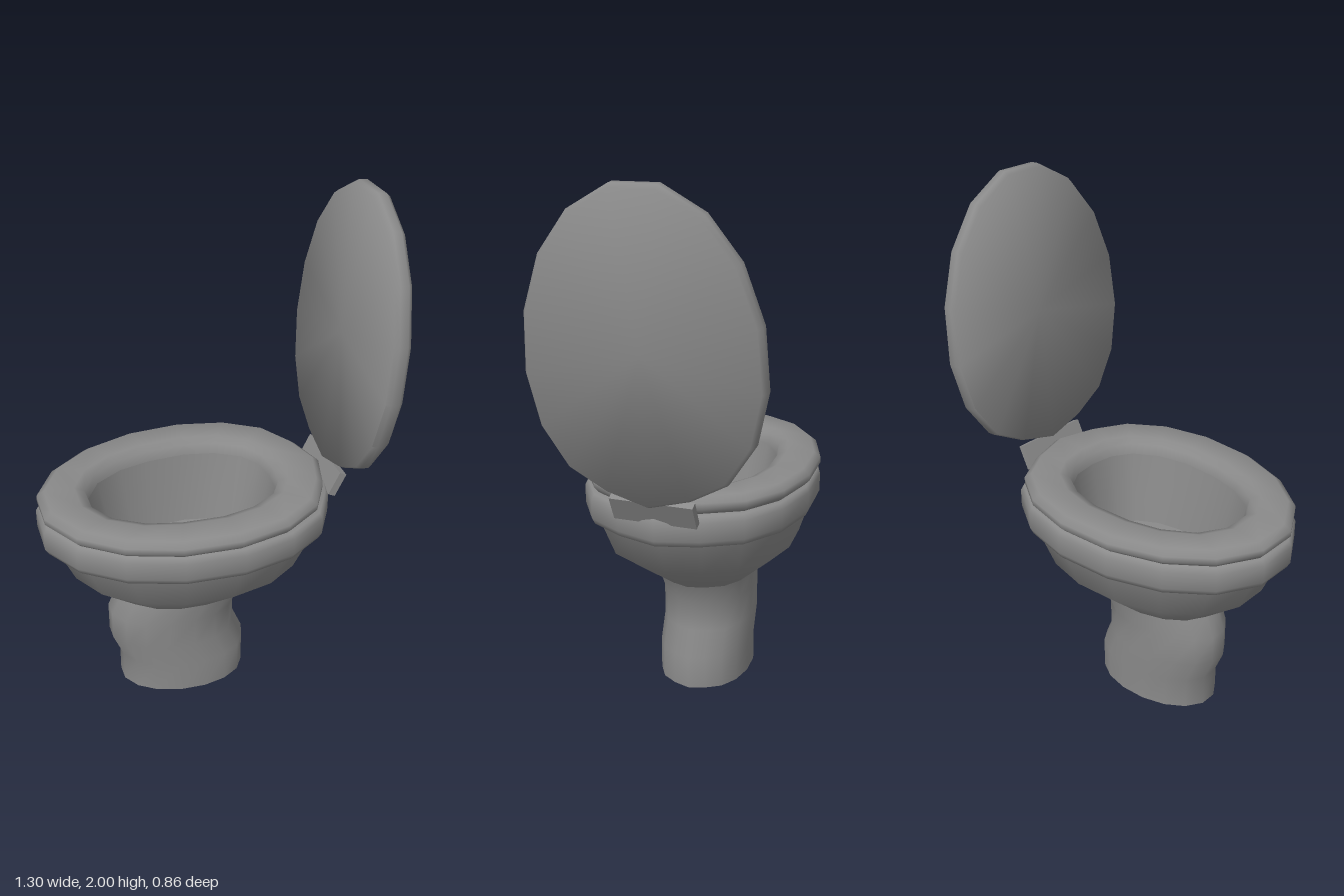
import * as THREE from 'three';
import { toCreasedNormals } from 'three/addons/utils/BufferGeometryUtils.js';

const material = new THREE.MeshStandardMaterial({ color: 0x8a8a8a, side: THREE.DoubleSide });

// 17-sided outlines from half of their points: blunt end at -x, narrow end at +x
const mirrored = (half) => [...half, [1, 0], ...half.map(([u, w]) => [u, -w]).reverse()];
const egg = mirrored([[-1, .19], [-.843, .545], [-.574, .81], [-.217, .97], [.174, 1], [.52, .9], [.78, .68], [.92, .36]]);
const oval = mirrored([[-1, .22], [-.84, .59], [-.54, .85], [-.2, .97], [.227, 1], [.56, .9], [.83, .68], [.966, .38]]);

// Skins a stack of rings, each given as [y, minX, maxX, halfWidth, outline]
function loft(name, rings, crease = 0.9) {
  const n = egg.length, positions = [], index = [];
  for (const [y, x0, x1, w, outline = egg] of rings)
    for (const [u, v] of outline) positions.push((x0 + x1) / 2 + u * (x1 - x0) / 2, y, v * w);
  for (let i = 0; i < rings.length - 1; i++)
    for (let j = 0; j < n; j++) {
      const k = (j + 1) % n, a = i * n + j, b = i * n + k;
      index.push(a, b, b + n, a, b + n, a + n);
    }
  const geometry = new THREE.BufferGeometry();
  geometry.setAttribute('position', new THREE.Float32BufferAttribute(positions, 3));
  geometry.setIndex(index);
  const mesh = new THREE.Mesh(toCreasedNormals(geometry, crease), material);
  mesh.name = name;
  return mesh;
}

// Ring shrunk to a point, closing a skin at its centre
const tip = (y, x) => [y, x, x, 0];

export function createModel() {
  const model = new THREE.Group();
  model.name = 'toilet';

  // Curved foot, open underneath
  model.add(loft('pedestal', [
    [0, -.36, .16, .177], [.13, -.36, .16, .177], [.23, -.4, .118, .177],
    [.35, -.4, .118, .177], [.44, -.36, .16, .188],
  ]));

  // Flaring outside of the bowl
  model.add(loft('bowl', [
    [.435, -.36, .16, .19], [.59, -.54, .385, .357], [.74, -.605, .455, .407],
  ]));

  // Thick rim around the bowl
  model.add(loft('rim', [
    [.737, -.59, .44, .39], [.737, -.637, .487, .422], [.76, -.65, .5, .432], [.83, -.65, .5, .432],
    [.852, -.637, .487, .422], [.852, -.56, .4, .36],
  ], 1.2));

  // Seat ring with rounded edges and an oval opening
  model.add(loft('seat', [
    [.852, -.56, .4, .36], [.852, -.625, .457, .41], [.872, -.643, .472, .43], [.895, -.643, .472, .43],
    [.915, -.615, .445, .405], [.915, -.5, .315, .3, oval], [.9, -.463, .278, .265, oval],
    [.86, -.45, .267, .255, oval],
  ], 1.2));

  // Inside wall and floor of the bowl
  model.add(loft('basin', [
    [.86, -.45, .267, .255, oval], [.57, -.385, .21, .21, oval], tip(.57, -.09),
  ]));

  // Raised lid, modelled lying flat with its hinge end at the origin
  const lid = loft('lid', [
    tip(0, -.55), [0, -1.09, -.008, .42], [.018, -1.102, 0, .427], [.05, -1.102, 0, .427],
    [.067, -1.088, -.012, .414], tip(.067, -.55),
  ], 1.2);
  lid.rotation.z = -(Math.PI / 2 + .085);
  lid.position.set(.487, .903, 0);
  model.add(lid);

  // Hinge plate joining rim and lid
  const hinge = new THREE.Mesh(new THREE.BoxGeometry(.03, .1, .31), material);
  hinge.name = 'hinge';
  hinge.position.set(.49, .872, 0);
  hinge.rotation.z = -.45;
  model.add(hinge);

  return model;
}
